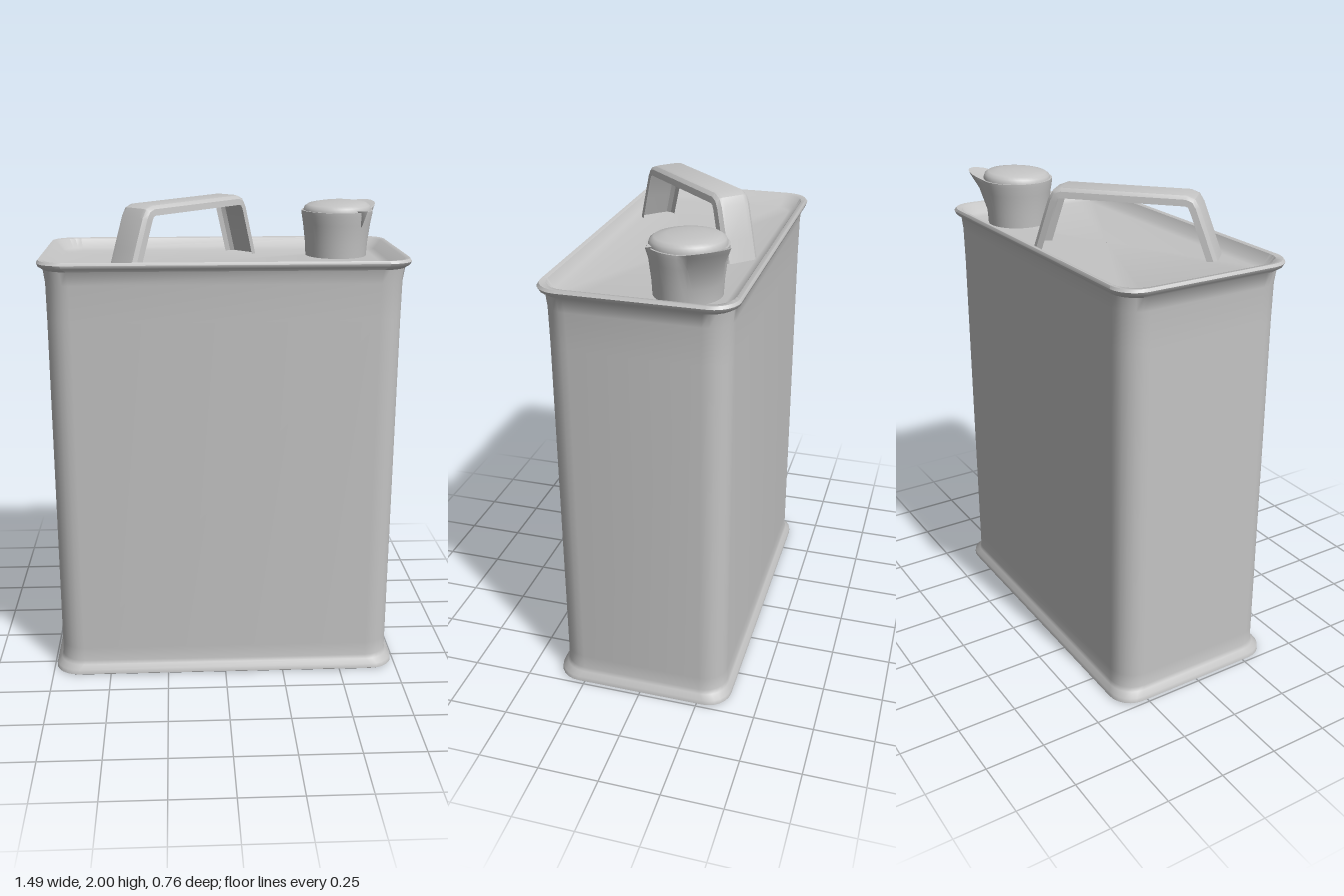
import * as THREE from 'three';
import { toCreasedNormals } from 'three/addons/utils/BufferGeometryUtils.js';

const metal = new THREE.MeshStandardMaterial({ color: 0xc4c4c4, side: THREE.DoubleSide });
metal.name = 'bare grey metal';

// Rounded rectangle ring, listed so that lofting upwards faces outwards
function ring(hx, hz, y, r = 0.1, steps = 6) {
  const pts = [];
  const corners = [[1, 1], [-1, 1], [-1, -1], [1, -1]];
  corners.forEach(([sx, sz], q) => {
    for (let i = 0; i <= steps; i++) {
      const a = (q + i / steps) * Math.PI / 2;
      pts.push([sx * (hx - r) + r * Math.cos(a), y, sz * (hz - r) + r * Math.sin(a)]);
    }
  });
  return pts;
}

// Joins cross-sections in order; closed sections wrap around
function loft(sections, closed, crease) {
  const n = sections[0].length;
  const index = [];
  for (let s = 0; s < sections.length - 1; s++) {
    for (let i = 0; i < (closed ? n : n - 1); i++) {
      const a = s * n + i, b = s * n + (i + 1) % n;
      index.push(a, a + n, b, b, a + n, b + n);
    }
  }
  const geo = new THREE.BufferGeometry();
  geo.setAttribute('position', new THREE.Float32BufferAttribute(sections.flat(2), 3));
  geo.setIndex(index);
  geo.computeVertexNormals();
  return crease ? toCreasedNormals(geo, crease) : geo;
}

function add(group, name, geo) {
  const mesh = new THREE.Mesh(geo, metal);
  mesh.name = name;
  group.add(mesh);
  return mesh;
}

export function createModel() {
  const can = new THREE.Group();
  can.name = 'fuelCan';

  // Can: recessed base, rolled lower rim, walls, rolled upper rim, sunken lid
  const profile = [
    [0.001, 0.001, 0.03, 0.001], [0.64, 0.28, 0.03, 0.06], [0.69, 0.33, 0.028, 0.08],
    [0.712, 0.352, 0.004], [0.73, 0.37, 0], [0.74, 0.378, 0.006], [0.738, 0.376, 0.025],
    [0.72, 0.36, 0.042], [0.714, 0.355, 0.06], [0.714, 0.355, 0.12],
    [0.714, 0.355, 1.55], [0.715, 0.357, 1.7], [0.722, 0.361, 1.755],
    [0.738, 0.377, 1.768], [0.744, 0.382, 1.782], [0.738, 0.376, 1.793], [0.718, 0.358, 1.79],
    [0.69, 0.335, 1.752, 0.08], [0.66, 0.305, 1.742, 0.06], [0.001, 0.001, 1.742, 0.001],
  ];
  add(can, 'body', loft(profile.map((p) => ring(...p)), true, 0.85));

  // Handle: folded channel bent over the lid, set diagonally
  const path = [[-0.385, 1.735], [-0.35, 1.83], [-0.305, 1.95], [-0.285, 1.982], [-0.25, 1.995],
    [0.25, 2], [0.285, 1.986], [0.305, 1.955], [0.345, 1.83], [0.375, 1.735]];
  const section = [[-0.078, -0.04], [-0.074, -0.015], [-0.06, -0.002], [-0.045, 0],
    [0.045, 0], [0.06, -0.002], [0.074, -0.015], [0.078, -0.04]];
  const strips = path.map(([s, y], i) => {
    const a = path[Math.max(i - 1, 0)], b = path[Math.min(i + 1, path.length - 1)];
    const len = Math.hypot(b[0] - a[0], b[1] - a[1]);
    const nx = -(b[1] - a[1]) / len, ny = (b[0] - a[0]) / len;
    return section.map(([w, d]) => [s + nx * d, y + ny * d, -w]);
  });
  const handle = add(can, 'handle', loft(strips, false, 0.6));
  handle.position.set(-0.15, 0, 0);
  handle.rotation.y = Math.PI / 4;

  // Filler neck with a pouring lip pulled out towards the back left corner
  const spout = new THREE.Group();
  spout.name = 'spout';
  spout.position.set(0.503, 0, -0.148);
  can.add(spout);
  const neck = new THREE.LatheGeometry([[0.131, 1.735], [0.135, 1.8], [0.145, 1.88],
    [0.152, 1.92], [0.153, 1.935], [0.138, 1.935]].map((p) => new THREE.Vector2(...p)), 48);
  const pos = neck.attributes.position;
  for (let i = 0; i < pos.count; i++) {
    const x = pos.getX(i), y = pos.getY(i), z = pos.getZ(i);
    const toward = Math.cos(Math.atan2(z, x) + Math.PI / 4);
    const pull = Math.max(0, (toward - 0.8) / 0.2) * Math.max(0, (y - 1.84) / 0.095);
    const out = Math.hypot(x, z) > 0.14 ? 1 + 0.42 * pull : 1;
    pos.setXYZ(i, x * out, y + (out > 1 ? 0.03 * pull : 0), z * out);
  }
  neck.computeVertexNormals();
  add(spout, 'neck', toCreasedNormals(neck, 0.7));

  // Closed cap, a shallow dome tipped slightly
  const dome = new THREE.LatheGeometry([[0.144, 1.9], [0.146, 1.94], [0.14, 1.957],
    [0.125, 1.967], [0.08, 1.975], [0, 1.978]].map((p) => new THREE.Vector2(...p)), 40);
  dome.translate(0, -1.94, 0);
  const cap = add(spout, 'cap', toCreasedNormals(dome, 0.8));
  cap.position.y = 1.936;
  cap.rotation.z = 0.03;
  cap.rotation.x = 0.03;

  // Small latch under the front of the cap
  const latch = add(spout, 'latch', new THREE.ConeGeometry(0.025, 0.07, 3));
  latch.position.set(0.09, 1.905, 0.115);
  latch.rotation.x = Math.PI;

  return can;
}
